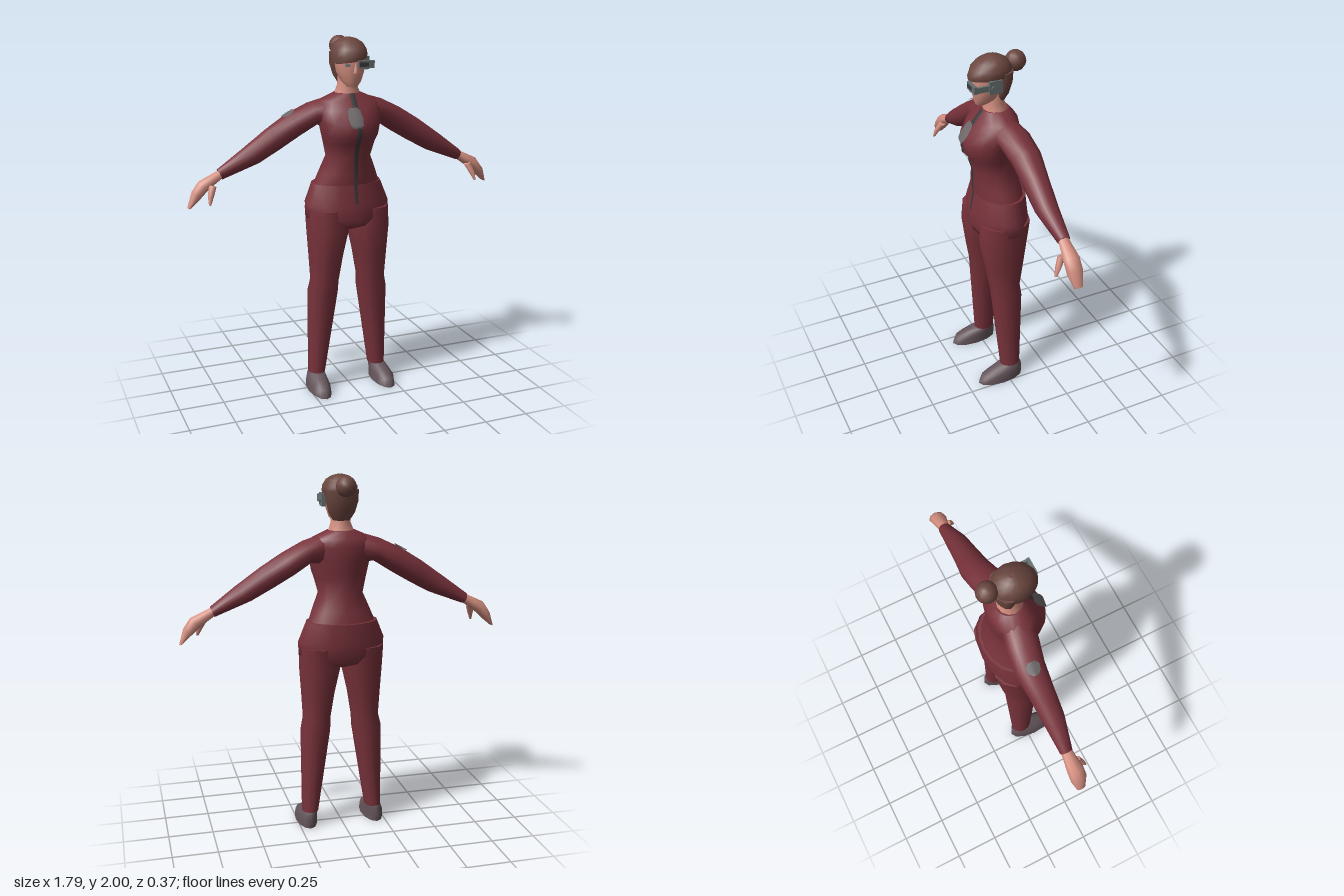
import * as THREE from 'three';

const mat = (name, color, side = THREE.FrontSide) => {
  const m = new THREE.MeshStandardMaterial({ color, side });
  m.name = name;
  return m;
};
const V3 = (x, y, z) => new THREE.Vector3(x, y, z);

// Skin a row of elliptical rings {c, u, v}; smooth sides, flat end caps.
function loft(rings, n) {
  const pos = [], idx = [];
  const dir = rings[1].c.clone().sub(rings[0].c);
  const flip = rings[0].u.clone().cross(rings[0].v).dot(dir) < 0;
  const tri = (a, b, c) => (flip ? idx.push(a, c, b) : idx.push(a, b, c));
  const addRing = ({ c, u, v }) => {
    for (let j = 0; j < n; j++) {
      const t = (j / n) * Math.PI * 2;
      const p = c.clone().addScaledVector(u, Math.cos(t)).addScaledVector(v, Math.sin(t));
      pos.push(p.x, p.y, p.z);
    }
  };
  rings.forEach(addRing);
  for (let i = 0; i < rings.length - 1; i++) {
    for (let j = 0; j < n; j++) {
      const a = i * n + j, b = i * n + ((j + 1) % n);
      tri(a, b, a + n);
      tri(b, b + n, a + n);
    }
  }
  for (const end of [0, 1]) {
    const ring = rings[end ? rings.length - 1 : 0];
    const s = pos.length / 3;
    addRing(ring);
    pos.push(ring.c.x, ring.c.y, ring.c.z);
    for (let j = 0; j < n; j++) {
      const a = s + j, b = s + ((j + 1) % n);
      if (end) tri(s + n, a, b); else tri(s + n, b, a);
    }
  }
  const g = new THREE.BufferGeometry();
  g.setAttribute('position', new THREE.Float32BufferAttribute(pos, 3));
  g.setIndex(idx);
  g.computeVertexNormals();
  return g;
}

// Upright form from rows [y, half width, front z, back z, centre x, sideways tilt]
const upright = (rows, n, side = 1) => loft(rows.map(([y, rx, zf, zb, cx = 0, tilt = 0]) => ({
  c: V3(cx * side, y, (zf + zb) / 2), u: V3(rx, tilt, 0), v: V3(0, 0, (zf - zb) / 2),
})), n);

// Limb from rows [upper x, upper y, lower x, lower y, centre z, half depth]
const limb = (rows, n, side) => loft(rows.map(([tx, ty, bx, by, z, d]) => ({
  c: V3(side * (tx + bx) / 2, (ty + by) / 2, z),
  u: V3(side * (tx - bx) / 2, (ty - by) / 2, 0), v: V3(0, 0, d),
})), n);

// Thin surface strip from rows [y, z, half width], folded back along its middle
function strip(rows, cx = 0, bend = 0) {
  const g = new THREE.PlaneGeometry(2, 1, 4, rows.length - 1);
  const p = g.attributes.position;
  for (let i = 0; i < p.count; i++) {
    const [y, z, w] = rows[Math.floor(i / 5)];
    const x = cx + p.getX(i) * w;
    p.setXYZ(i, x, y, z - bend * Math.abs(x));
  }
  g.computeVertexNormals();
  return g;
}

export function createModel() {
  const model = new THREE.Group();
  model.name = 'woman in jumpsuit';
  const suit = mat('burgundy cloth', 0x78323b);
  const skin = mat('skin', 0xd48f80);
  const hair = mat('brown hair', 0x6b463f);
  const shoe = mat('shoe grey', 0x64555b);
  const patch = mat('patch grey', 0x6c6668, THREE.DoubleSide);
  const zip = mat('zip charcoal', 0x3c383a, THREE.DoubleSide);
  const metal = mat('visor grey', 0x66706f);
  const add = (name, geo, m, x = 0, y = 0, z = 0) => {
    const mesh = new THREE.Mesh(geo, m);
    mesh.name = name;
    mesh.position.set(x, y, z);
    model.add(mesh);
    return mesh;
  };
  const box = (name, m, w, h, d, x, y, z) => add(name, new THREE.BoxGeometry(w, h, d), m, x, y, z);

  // Jacket and hips
  add('jacket', upright([
    [1.19, 0.195, 0.108, -0.16], [1.27, 0.163, 0.115, -0.14], [1.36, 0.125, 0.115, -0.115],
    [1.44, 0.145, 0.14, -0.115], [1.48, 0.157, 0.17, -0.12], [1.55, 0.172, 0.175, -0.128],
    [1.62, 0.185, 0.125, -0.13], [1.665, 0.165, 0.09, -0.12], [1.705, 0.075, 0.06, -0.088],
  ], 16), suit);
  add('trouserHips', upright([
    [1.21, 0.2, 0.112, -0.17], [1.1, 0.245, 0.13, -0.177], [1.02, 0.242, 0.137, -0.165],
    [0.975, 0.17, 0.12, -0.14], [0.95, 0.07, 0.06, -0.08],
  ], 16), suit);

  for (const side of [1, -1]) {
    const s = side > 0 ? 'left' : 'right';
    // Legs and shoes
    add(s + 'TrouserLeg', upright([
      [1.07, 0.118, 0.122, -0.16, 0.122], [0.95, 0.118, 0.134, -0.145, 0.12],
      [0.8, 0.096, 0.11, -0.122, 0.132], [0.65, 0.08, 0.083, -0.098, 0.14],
      [0.58, 0.087, 0.075, -0.104, 0.149], [0.09, 0.048, 0.036, -0.085, 0.187],
    ], 12, side), suit);
    add(s + 'Shoe', upright([
      [0, 0.06, 0.183, -0.098, 0.198], [0.045, 0.058, 0.165, -0.098, 0.198],
      [0.075, 0.05, 0.09, -0.094, 0.193], [0.095, 0.044, 0.034, -0.083, 0.188],
    ], 12, side), shoe);
    // Sleeves and hands
    add(s + 'Sleeve', limb([
      [0.1, 1.69, 0.12, 1.52, -0.02, 0.085], [0.21, 1.657, 0.175, 1.535, -0.035, 0.09],
      [0.33, 1.6, 0.27, 1.475, -0.05, 0.083], [0.45, 1.525, 0.38, 1.41, -0.045, 0.07],
      [0.59, 1.425, 0.5, 1.345, -0.04, 0.06], [0.725, 1.325, 0.7, 1.27, -0.05, 0.034],
    ], 12, side), suit);
    add(s + 'Hand', limb([
      [0.7, 1.33, 0.685, 1.285, -0.05, 0.028], [0.755, 1.305, 0.728, 1.255, -0.048, 0.034],
      [0.83, 1.27, 0.775, 1.222, -0.045, 0.045], [0.868, 1.215, 0.825, 1.175, -0.043, 0.045],
      [0.893, 1.13, 0.877, 1.132, -0.045, 0.024],
    ], 8, side), skin);
    add(s + 'Thumb', limb([
      [0.78, 1.255, 0.74, 1.24, -0.015, 0.022], [0.795, 1.2, 0.762, 1.195, 0.012, 0.016],
      [0.795, 1.155, 0.783, 1.153, 0.03, 0.007],
    ], 6, side), skin);
  }

  // Head and neck
  add('neck', upright([
    [1.67, 0.076, 0.055, -0.08], [1.71, 0.069, 0.052, -0.076],
    [1.745, 0.055, 0.045, -0.062], [1.82, 0.054, 0.045, -0.06],
  ], 12), skin);
  add('face', upright([
    [1.742, 0.026, 0.096, 0.035], [1.77, 0.053, 0.108, -0.02], [1.82, 0.074, 0.117, -0.055],
    [1.88, 0.085, 0.12, -0.06], [1.93, 0.085, 0.112, -0.06],
  ], 12), skin);
  add('nose', upright([
    [1.818, 0.013, 0.131, 0.1], [1.835, 0.011, 0.13, 0.1], [1.875, 0.006, 0.12, 0.1],
  ], 6), skin);
  const eye = box('rightEye', metal, 0.026, 0.013, 0.008, -0.042, 1.86, 0.108);
  eye.rotation.y = -0.45;

  // Hair
  add('hairCap', upright([
    [1.88, 0.092, 0.131, -0.1, 0, 0.016], [1.905, 0.096, 0.136, -0.104, 0, 0.008],
    [1.94, 0.094, 0.122, -0.103], [1.972, 0.077, 0.088, -0.078],
    [1.992, 0.046, 0.05, -0.045], [2, 0.014, 0.02, -0.012],
  ], 14), hair);
  add('backHair', upright([
    [1.758, 0.048, 0.005, -0.064], [1.8, 0.073, 0.008, -0.083],
    [1.86, 0.09, 0.012, -0.1], [1.92, 0.094, 0.03, -0.104],
  ], 12), hair);
  add('hairBun', new THREE.SphereGeometry(0.056, 12, 8), hair, 0, 1.945, -0.128);

  // One-sided visor
  box('visorFront', metal, 0.09, 0.04, 0.016, 0.05, 1.865, 0.137);
  box('visorGlass', zip, 0.05, 0.022, 0.006, 0.036, 1.865, 0.144);
  box('visorArm', metal, 0.014, 0.03, 0.09, 0.088, 1.863, 0.1);
  box('visorEarpiece', metal, 0.022, 0.07, 0.07, 0.09, 1.865, 0.026);
  const knob = add('visorKnob', new THREE.CylinderGeometry(0.014, 0.014, 0.008, 10), metal, 0.104, 1.863, 0.04);
  knob.rotation.z = Math.PI / 2;

  // Zip and patches
  add('zip', strip([
    [1.705, 0.064, 0.016], [1.665, 0.096, 0.016], [1.62, 0.131, 0.015], [1.55, 0.181, 0.014],
    [1.48, 0.176, 0.013], [1.44, 0.146, 0.013], [1.36, 0.121, 0.012], [1.27, 0.121, 0.011],
    [1.21, 0.119, 0.01], [1.11, 0.136, 0.008],
  ], 0, 0.15), zip);
  add('chestPatch', strip([
    [1.637, 0.121, 0.022], [1.62, 0.135, 0.035], [1.585, 0.16, 0.041],
    [1.55, 0.185, 0.035], [1.535, 0.185, 0.02],
  ], -0.015, 0.17), patch);
  const badge = add('sleevePatch', strip([
    [0.036, 0, 0.018], [0.015, 0, 0.038], [-0.015, 0, 0.034], [-0.036, 0, 0.015],
  ], 0, 0.2), patch);
  const normal = V3(-0.479, 0.878, 0);
  badge.quaternion.setFromRotationMatrix(
    new THREE.Matrix4().makeBasis(V3(0, 0, 1), V3(0.878, 0.479, 0), normal));
  badge.position.set(-0.33, 1.6, -0.046).addScaledVector(normal, 0.006);

  return model;
}
